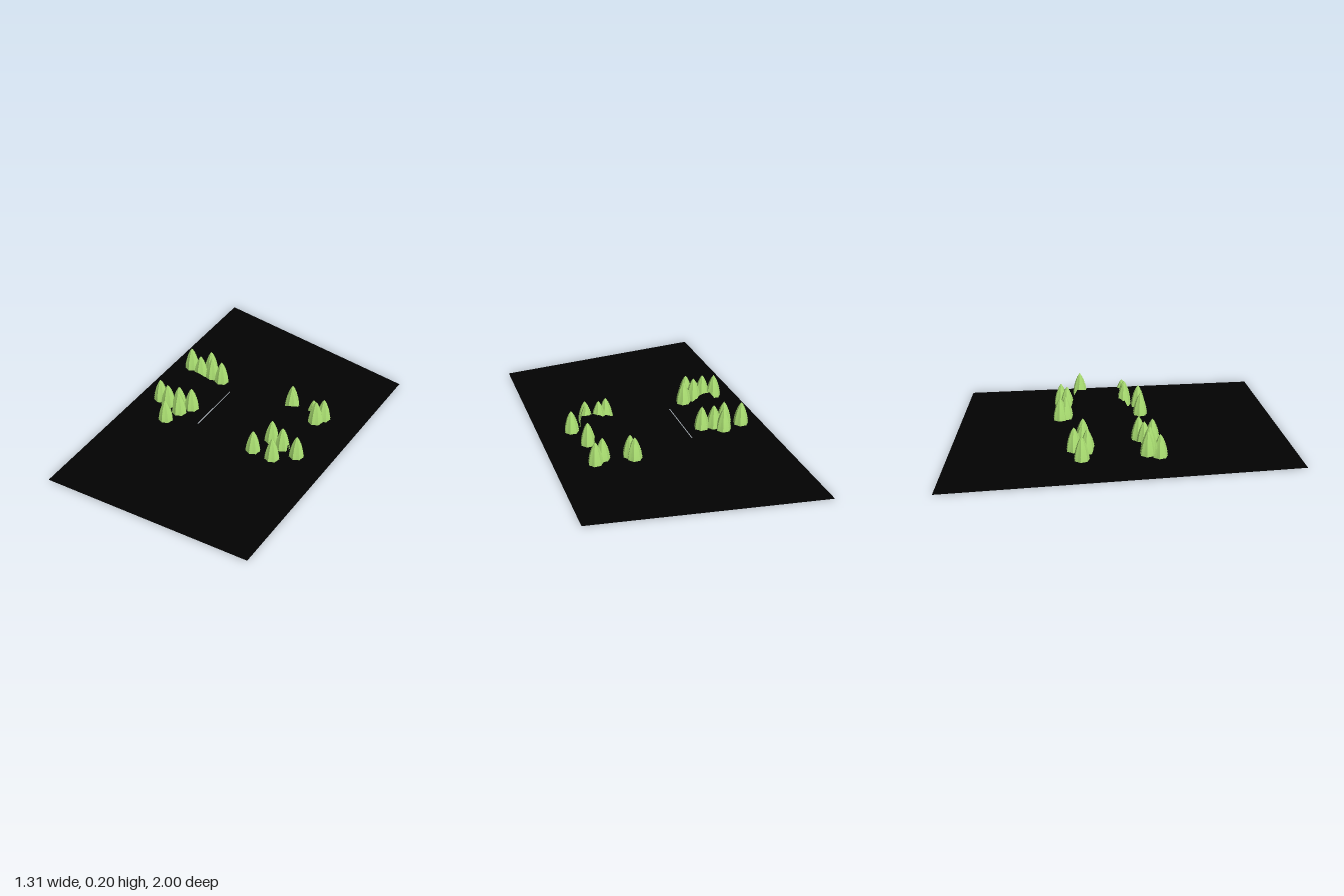
import * as THREE from 'three';

const dark = new THREE.MeshStandardMaterial({ color: 0x020202, side: THREE.DoubleSide, flatShading: true });
const green = new THREE.MeshStandardMaterial({ color: 0xa5d86e, side: THREE.DoubleSide, flatShading: true });

// Flat outline in x/z, laid on the ground plane
const path = (Type, points) => new Type(points.map(([x, z]) => new THREE.Vector2(x, -z)));

// Bell-shaped conifer: stacked skirts, with every second rib pulled in
function treeGeometry() {
  const height = 0.135, radius = 0.044, layers = 9;
  const bell = t => radius * Math.pow(1 - Math.pow(t, 1.7), 0.8);
  const profile = [new THREE.Vector2(0, 0.004)];
  for (let i = 0; i < layers; i++) {
    const low = i / layers, high = (i + 1) / layers;
    profile.push(new THREE.Vector2(bell(low), low * height));
    profile.push(new THREE.Vector2(bell(high) * 0.9, high * height));
  }
  const sides = 14;
  const geometry = new THREE.LatheGeometry(profile, sides);
  const p = geometry.attributes.position;
  for (let i = 0; i < p.count; i++) {
    const rib = Math.floor(i / profile.length) % 2 ? 0.87 : 1;
    p.setX(i, p.getX(i) * rib);
    p.setZ(i, p.getZ(i) * rib);
  }
  geometry.computeVertexNormals();
  return geometry;
}

// Ramp mound: a box whose upper corners move inward
function mound(name, [x0, x1, z0, z1], [tx0, tx1, tz0, tz1], height) {
  const geometry = new THREE.BoxGeometry(1, 1, 1);
  const p = geometry.attributes.position;
  for (let i = 0; i < p.count; i++) {
    const top = p.getY(i) > 0, right = p.getX(i) > 0, front = p.getZ(i) > 0;
    p.setXYZ(i,
      top ? (right ? tx1 : tx0) : (right ? x1 : x0),
      top ? height : 0.003,
      top ? (front ? tz1 : tz0) : (front ? z1 : z0));
  }
  geometry.computeVertexNormals();
  const mesh = new THREE.Mesh(geometry, dark);
  mesh.name = name;
  return mesh;
}

export function createModel() {
  const model = new THREE.Group();
  model.name = 'woodlandTerrain';

  // Ground sheet with a narrow slit beside the right mound
  const outline = path(THREE.Shape, [[-0.655, -1], [0.655, -0.78], [0.62, 0.955], [-0.605, 1]]);
  outline.holes.push(path(THREE.Path, [[-0.186, -0.18], [-0.18, -0.18], [-0.178, 0.175], [-0.184, 0.175]]));
  const ground = new THREE.Mesh(new THREE.ShapeGeometry(outline).rotateX(-Math.PI / 2), dark);
  ground.position.y = 0.002;
  ground.name = 'ground';
  model.add(ground);

  // Two mounds ramping down towards the middle
  model.add(mound('rightMound', [-0.437, -0.187, -0.18, 0.17], [-0.415, -0.375, -0.13, 0.12], 0.1));
  model.add(mound('leftMound', [0.105, 0.395, -0.2, 0.155], [0.29, 0.385, -0.15, 0.11], 0.1));

  // Trees: x, z, base height
  const trees = [
    // raised groups behind and in front of the right mound
    [-0.47, -0.21, 0.062], [-0.35, -0.24, 0.062], [-0.38, -0.17, 0.062], [-0.31, -0.19, 0.062], [-0.24, -0.18, 0.062],
    [-0.45, 0.15, 0.062], [-0.385, 0.17, 0.062], [-0.32, 0.15, 0.062], [-0.25, 0.13, 0.062], [-0.29, 0.2, 0.062],
    [-0.364, 0.234, 0],
    // trees around the left mound
    [0.42, -0.13, 0.062], [0.28, 0.12, 0.04], [0.353, 0.13, 0.026],
    [0.21, 0.21, 0], [0.335, 0.215, 0], [0.442, 0.129, 0],
    [0.195, -0.27, 0], [0.21, -0.235, 0], [0.414, -0.246, 0], [0.364, -0.214, 0],
  ];
  const geometry = treeGeometry();
  const forest = new THREE.Group();
  forest.name = 'trees';
  for (const [x, z, y] of trees) {
    const tree = new THREE.Mesh(geometry, green);
    tree.position.set(x, y, z);
    tree.name = 'tree';
    forest.add(tree);
  }
  model.add(forest);
  return model;
}
